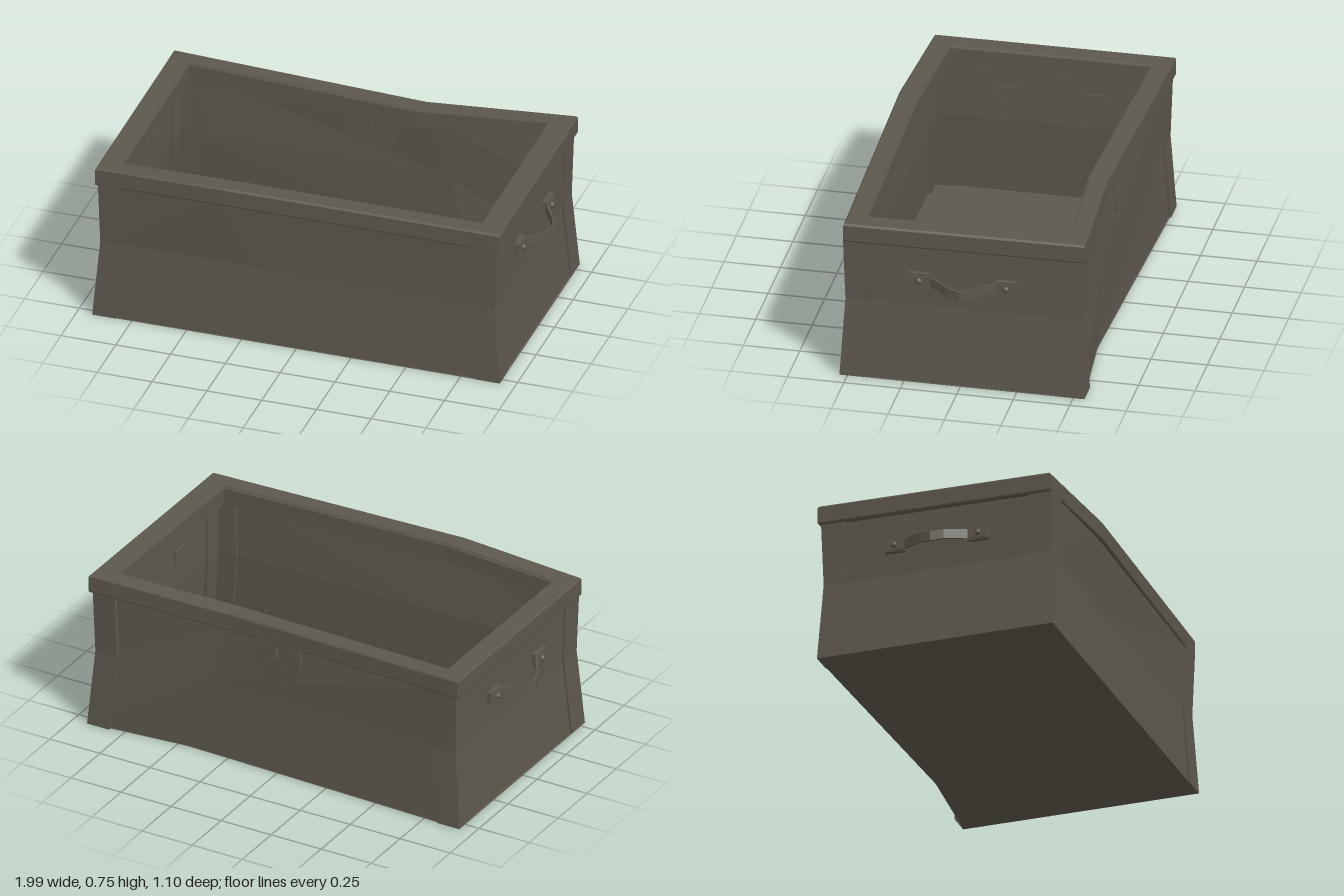
import * as THREE from 'three';

const olive = new THREE.MeshStandardMaterial({ color: 0x5d584d, side: THREE.DoubleSide });
olive.name = 'dark olive';

// Flat-faced skin over a grid of points; rows may wrap round in either direction.
function skin(rows, wrapCols, wrapRows) {
  const pos = [], nr = rows.length, nc = rows[0].length;
  for (let i = 0; i < (wrapRows ? nr : nr - 1); i++) {
    for (let j = 0; j < (wrapCols ? nc : nc - 1); j++) {
      const a = rows[i][j], b = rows[i][(j + 1) % nc];
      const d = rows[(i + 1) % nr][j], c = rows[(i + 1) % nr][(j + 1) % nc];
      pos.push(...a, ...b, ...c, ...a, ...c, ...d);
    }
  }
  const g = new THREE.BufferGeometry();
  g.setAttribute('position', new THREE.Float32BufferAttribute(pos, 3));
  g.computeVertexNormals();
  return g;
}

function add(parent, name, geometry, x = 0, y = 0, z = 0) {
  const m = new THREE.Mesh(geometry, olive);
  m.name = name;
  m.position.set(x, y, z);
  parent.add(m);
  return m;
}

// Worn side walls: three levels, each running round from the front.
function walls() {
  return skin([
    [[-0.92, 0, 0.525], [-0.2, 0, 0.525], [0.92, 0, 0.525], [0.92, 0, -0.54], [0.45, 0, -0.5], [-0.92, 0, -0.54]],
    [[-0.89, 0.36, 0.508], [-0.2, 0.36, 0.508], [0.89, 0.36, 0.508], [0.89, 0.36, -0.52], [0.35, 0.36, -0.5], [-0.89, 0.36, -0.52]],
    [[-0.895, 0.67, 0.515], [-0.35, 0.68, 0.53], [0.895, 0.67, 0.515], [0.895, 0.68, -0.53], [0.25, 0.65, -0.485], [-0.895, 0.67, -0.53]],
  ], true, false);
}

// Warped frame round the opening, with softened upper edges.
function rim() {
  const outer = [[-0.922, 0.725, 0.52], [-0.33, 0.745, 0.545], [0.922, 0.73, 0.52], [0.922, 0.74, -0.55], [0.25, 0.715, -0.502], [-0.922, 0.73, -0.55]];
  const inner = [[-0.822, 0.43], [-0.28, 0.45], [0.815, 0.43], [0.815, -0.46], [0.21, -0.413], [-0.822, -0.46]];
  const section = [[0.03, -0.085], [0, -0.079], [0, -0.008], [0.07, 0], [0.88, 0], [0.92, -0.008], [1, -0.008], [1, -0.085]];
  return skin(section.map(([t, h]) => outer.map(([x, y, z], i) => [
    x + (inner[i][0] - x) * t, y + h, z + (inner[i][1] - z) * t,
  ])), true, true);
}

// L-shaped corner post following the pinch of the walls.
function post(sx, sz) {
  const w = 0.11, t = 0.022;
  const levels = [[0, 0.93, 0.535, 0.55], [0.36, 0.9, 0.515, 0.53], [0.67, 0.908, 0.525, 0.54]];
  return skin(levels.map(([y, x, zf, zb]) => {
    const z = sz > 0 ? zf : zb;
    const loop = [[x, z], [x - w, z], [x - w, z - t], [x - t, z - t], [x - t, z - w], [x, z - w]]
      .map(([px, pz]) => [px * sx, y, pz * sz]);
    return sx * sz > 0 ? loop.reverse() : loop;
  }), true, false);
}

// Sagging carry strap with two riveted mounts, on the +x end.
function handle() {
  const g = new THREE.Group();
  const half = [[0.916, 0.49, 0.225], [0.916, 0.49, 0.145], [0.942, 0.486, 0.105], [0.975, 0.479, 0.055]];
  const path = [...half, [0.992, 0.471, 0], ...half.slice().reverse().map(([x, y, z]) => [x, y, -z])];
  const strap = skin(path.map(([x, y, z]) => [
    [x - 0.005, y - 0.022, z], [x + 0.005, y - 0.022, z], [x + 0.005, y + 0.022, z], [x - 0.005, y + 0.022, z],
  ]), true, false);
  add(g, 'strap', strap, 0, 0, -0.006);
  for (const z of [0.186, -0.199]) {
    add(g, 'mount', new THREE.BoxGeometry(0.03, 0.06, 0.092), 0.9, 0.492, z);
    add(g, 'rivet', new THREE.SphereGeometry(0.015, 12, 8), 0.919, 0.49, z);
  }
  return g;
}

// Lock plate with a keyhole and narrowed lower end.
function lockPlate() {
  const g = new THREE.Group();
  const s = new THREE.Shape([
    [-0.115, 0.11], [-0.115, -0.035], [-0.1, -0.05], [-0.1, -0.085], [-0.085, -0.1],
    [0.085, -0.1], [0.1, -0.085], [0.1, -0.05], [0.115, -0.035], [0.115, 0.11],
  ].map(([x, y]) => new THREE.Vector2(x, y)));
  const hole = new THREE.Path();
  hole.moveTo(-0.007, 0.015);
  hole.lineTo(-0.007, 0.05);
  hole.absarc(0, 0.056, 0.012, Math.PI * 1.2, -Math.PI * 0.2, true);
  hole.lineTo(0.007, 0.015);
  s.holes.push(hole);
  add(g, 'plate', new THREE.ExtrudeGeometry(s, { depth: 0.024, bevelEnabled: false, curveSegments: 8 }), 0, 0, -0.012);
  for (const [x, y] of [[-0.07, 0.05], [0.07, 0.05], [-0.04, -0.01], [0.04, -0.01]]) {
    add(g, 'plateRivet', new THREE.CylinderGeometry(0.008, 0.008, 0.032, 8).rotateX(Math.PI / 2), x, y, 0);
  }
  return g;
}

export function createModel() {
  const crate = new THREE.Group();
  crate.name = 'openCrate';
  add(crate, 'walls', walls());
  add(crate, 'rim', rim());

  // Floor, reaching under the corner posts
  const base = [[-0.93, 0.533], [0.93, 0.533], [0.93, -0.548], [0.45, -0.503], [-0.93, -0.548]];
  const floor = new THREE.ShapeGeometry(new THREE.Shape(base.map(([x, z]) => new THREE.Vector2(x, z))));
  add(crate, 'floor', floor.rotateX(Math.PI / 2));

  for (const sx of [-1, 1]) {
    for (const sz of [-1, 1]) add(crate, 'cornerPost', post(sx, sz));
    const h = handle();
    h.name = sx > 0 ? 'leftHandle' : 'rightHandle';
    h.scale.x = sx;
    crate.add(h);
  }

  // Plate lies on the slanting back wall
  const lock = lockPlate();
  lock.name = 'lockPlate';
  lock.position.set(0, 0.55, -0.501);
  lock.rotation.y = -0.035;
  crate.add(lock);
  return crate;
}
